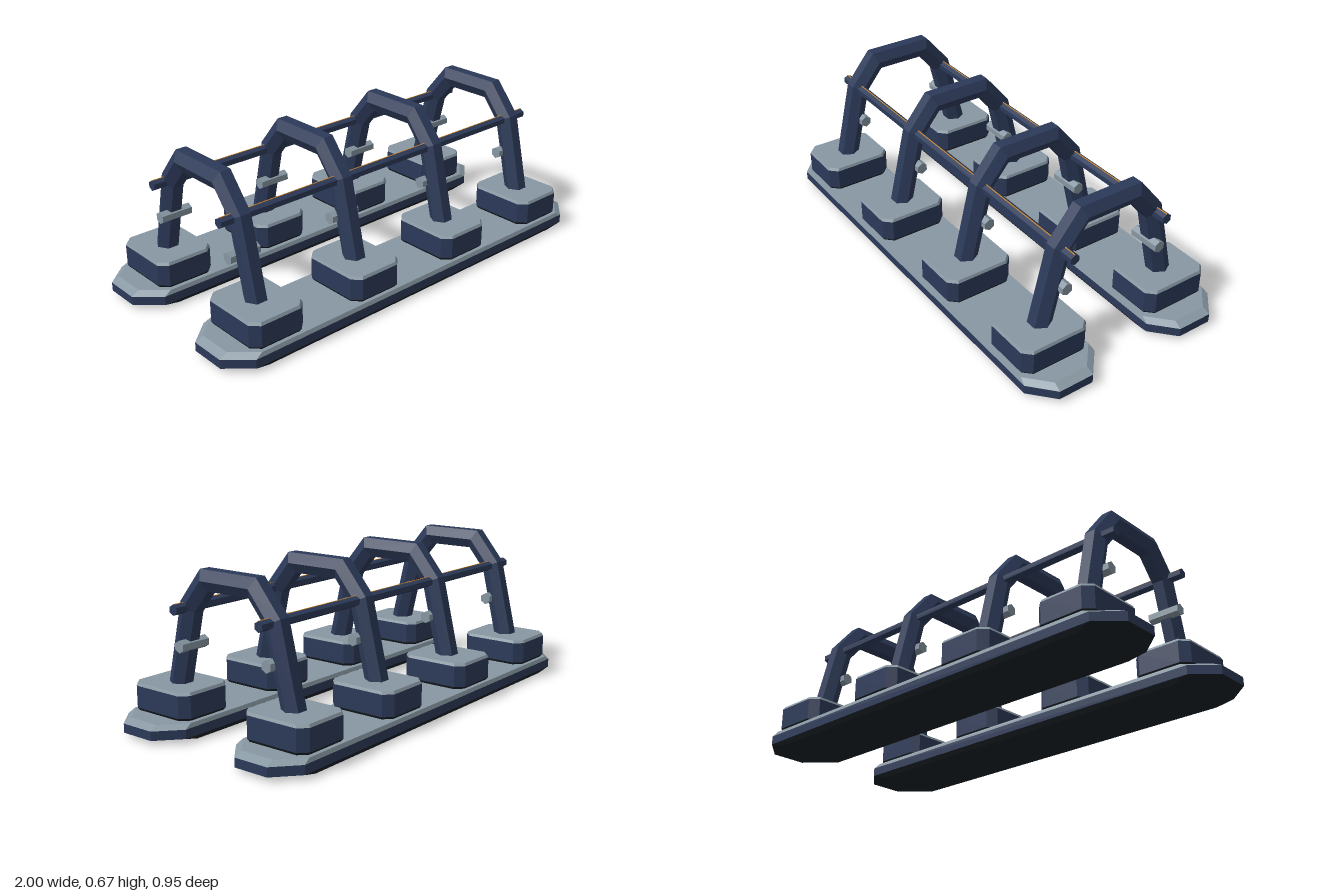
import * as THREE from 'three';

const mat = (name, color) => {
  const m = new THREE.MeshStandardMaterial({ color });
  m.name = name;
  return m;
};

// Skin a list of rings (each an array of Vector3) with flat faces and end caps.
// layerMats gives a material index for each band between rings.
function loft(rings, layerMats) {
  const pos = [];
  const geo = new THREE.BufferGeometry();
  const tri = (...pts) => pts.forEach((p) => pos.push(p.x, p.y, p.z));
  const centre = (ring) =>
    ring.reduce((s, p) => s.add(p), new THREE.Vector3()).divideScalar(ring.length);
  const n = rings[0].length;
  const last = rings.length - 1;
  const c0 = centre(rings[0]);
  const c1 = centre(rings[last]);
  for (let k = 0; k < last; k++) {
    const start = pos.length / 3;
    for (let i = 0; i < n; i++) {
      const j = (i + 1) % n;
      const a = rings[k][i], b = rings[k][j], c = rings[k + 1][j], d = rings[k + 1][i];
      tri(a, d, c);
      tri(a, c, b);
      if (k === 0) tri(c0, a, b);
      if (k === last - 1) tri(c1, c, d);
    }
    if (layerMats) geo.addGroup(start, pos.length / 3 - start, layerMats[k]);
  }
  geo.setAttribute('position', new THREE.Float32BufferAttribute(pos, 3));
  geo.computeVertexNormals();
  return geo;
}

// Slab with clipped corners; levels are [height, scale] pairs from the bottom up.
function slabGeometry(hx, hz, cx, cz, levels) {
  const outline = [
    [hx, -hz + cz], [hx, hz - cz], [hx - cx, hz], [-hx + cx, hz],
    [-hx, hz - cz], [-hx, -hz + cz], [-hx + cx, -hz], [hx - cx, -hz],
  ];
  const rings = levels.map(([y, s]) =>
    outline.map(([x, z]) => new THREE.Vector3(x * s, y, z * s)));
  return loft(rings, [0, 1, 2]);
}

// Six-sided bar following a mitred path in the y-z plane.
function archGeometry(radius) {
  const half = [[0.15, 0.312], [0.512, 0.225], [0.63, 0.127]];
  const path = [...half, ...half.slice().reverse().map(([y, z]) => [y, -z])]
    .map(([y, z]) => new THREE.Vector2(y, z));
  const normals = path.slice(1).map((p, i) => {
    const t = p.clone().sub(path[i]).normalize();
    return new THREE.Vector2(-t.y, t.x);
  });
  const rings = path.map((p, i) => {
    const a = normals[Math.max(i - 1, 0)];
    const b = normals[Math.min(i, normals.length - 1)];
    const m = a.clone().add(b).normalize();
    m.divideScalar(m.dot(a));
    return Array.from({ length: 6 }, (_, k) => {
      const u = radius * Math.cos(k * Math.PI / 3);
      const v = radius * Math.sin(k * Math.PI / 3);
      return new THREE.Vector3(u, p.x + m.x * v, p.y + m.y * v);
    });
  });
  return loft(rings);
}

// Hexagonal bar along x with a ridge on top.
function hexBarGeometry(radius, length) {
  const g = new THREE.CylinderGeometry(radius, radius, length, 6).toNonIndexed();
  g.rotateZ(Math.PI / 2);
  // bring a corner of the hexagon to the top
  g.rotateX(Math.PI / 2);
  g.computeVertexNormals();
  return g;
}

export function createModel() {
  const navy = mat('navy steel', 0x2c3a59);
  const grey = mat('pale grey', 0x8797a2);
  const dark = mat('dark underside', 0x1a2024);
  const orange = mat('orange trim', 0xd08a35);
  const layers = [dark, navy, grey];

  const model = new THREE.Group();
  model.name = 'archFrame';
  const add = (name, geo, material, x, y, z) => {
    const mesh = new THREE.Mesh(geo, material);
    mesh.name = name;
    mesh.position.set(x, y, z);
    model.add(mesh);
  };

  const railGeo = slabGeometry(1, 0.169, 0.1, 0.09,
    [[0, 0.92], [0.02, 1], [0.058, 1], [0.075, 0.965]]);
  const blockGeo = slabGeometry(0.129, 0.155, 0.035, 0.035,
    [[0.077, 0.95], [0.088, 1], [0.18, 1], [0.192, 0.96]]);
  const archGeo = archGeometry(0.0485);
  const rodGeo = hexBarGeometry(0.022, 1.725);
  const boltGeo = hexBarGeometry(0.026, 0.14);
  const trimGeo = new THREE.BoxGeometry(1.72, 0.003, 0.004);
  const stations = [-0.767, -0.262, 0.256, 0.762];

  // Ground rails, long rods and their trim, mirrored front and back
  for (const [side, s] of [['front', 1], ['back', -1]]) {
    add(side + 'Rail', railGeo, layers, 0, 0, s * 0.304);
    add(side + 'Rod', rodGeo, navy, -0.002, 0.512, s * 0.225);
    add(side + 'RodTrim', trimGeo, orange, -0.002, 0.5335, s * 0.225);
    // Foot blocks and cross bolts at every arch
    for (const x of stations) {
      add(side + 'FootBlock', blockGeo, layers, x, 0, s * 0.305);
      add(side + 'Bolt', boltGeo, grey, x, 0.358, s * 0.231);
    }
  }

  // Arches
  for (const x of stations) add('arch', archGeo, navy, x, 0, 0);

  return model;
}
